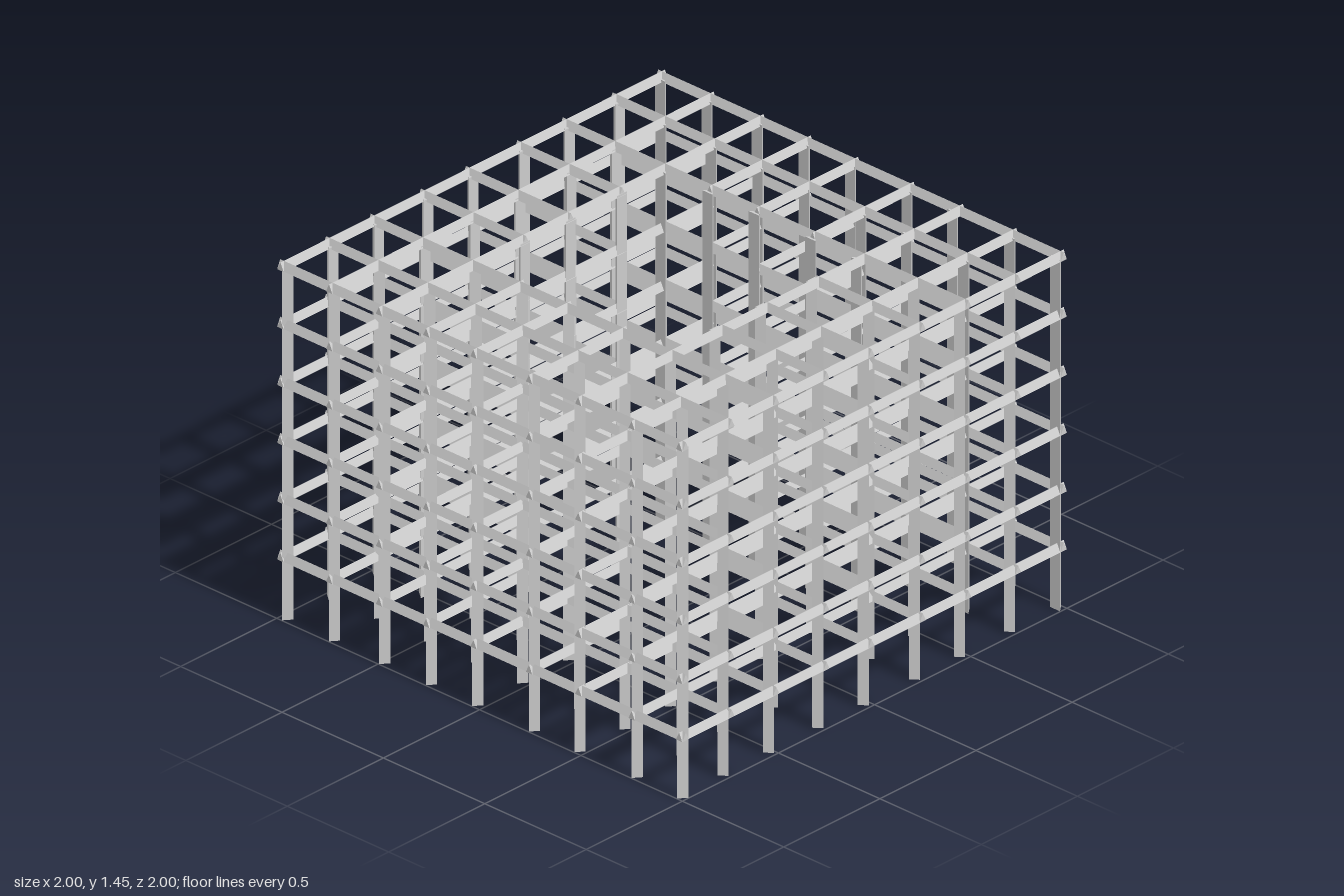
import * as THREE from 'three';

// Grid lines of the frame, and the floor heights at which beams lie
const beamX = [-0.982, -0.742, -0.496, -0.263, -0.03, 0.244, 0.487, 0.75, 0.984];
const beamZ = [-0.984, -0.747, -0.488, -0.251, 0.016, 0.25, 0.511, 0.744, 0.982];
const columnX = [-0.975, -0.745, -0.497, -0.266, -0.038, 0.241, 0.466, 0.748, 0.973];
const columnZ = [-0.982, -0.743, -0.482, -0.248, 0.018, 0.254, 0.511, 0.748, 0.982];
const floors = [0.24, 0.476, 0.714, 0.95, 1.187, 1.421];

const material = new THREE.MeshStandardMaterial({ color: 0xcccccc, flatShading: true });

// Triangular bar along +z, with its ridge towards +y and its base on y = 0
function triangularBar(width, height, length) {
  const profile = new THREE.Shape([
    new THREE.Vector2(-width / 2, 0),
    new THREE.Vector2(width / 2, 0),
    new THREE.Vector2(0, height),
  ]);
  return new THREE.ExtrudeGeometry(profile, { depth: length, bevelEnabled: false });
}

function addBar(parent, name, geometry, x, y, z) {
  const bar = new THREE.Mesh(geometry, material);
  bar.name = name;
  bar.position.set(x, y, z);
  parent.add(bar);
}

// The middle three lines stop at the courtyard; the others cross the whole frame
function spans(line, inner) {
  const crossesCourtyard = line >= 3 && line <= 5;
  return crossesCourtyard ? [[-1, inner[0]], [inner[1], 1]] : [[-1, 1]];
}

export function createModel() {
  const model = new THREE.Group();
  model.name = 'buildingFrame';

  // Floor beams in both directions
  floors.forEach((y, level) => {
    const floor = new THREE.Group();
    floor.name = `floorBeams${level + 1}`;
    beamZ.forEach((z, i) => {
      for (const [from, to] of spans(i, [-0.482, 0.474])) {
        const geometry = triangularBar(0.031, 0.033, to - from).rotateY(Math.PI / 2);
        addBar(floor, 'crossBeam', geometry, from, y, z);
      }
    });
    beamX.forEach((x, i) => {
      for (const [from, to] of spans(i, [-0.475, 0.495])) {
        addBar(floor, 'lengthwiseBeam', triangularBar(0.031, 0.033, to - from), x, y, from);
      }
    });
    model.add(floor);
  });

  // Upright columns, each with its ridge turned away from the courtyard
  const columns = new THREE.Group();
  columns.name = 'columns';
  const upright = triangularBar(0.05, 0.032, 1.43).translate(0, -0.016, 0).rotateX(-Math.PI / 2);
  const facing = (angle) => upright.clone().rotateY(angle);
  const [back, front, right, left] = [0, Math.PI, Math.PI / 2, -Math.PI / 2].map(facing);
  columnX.forEach((x, i) => {
    columnZ.forEach((z, j) => {
      const dx = Math.abs(i - 4), dz = Math.abs(j - 4);
      if (dx < 2 && dz < 2) return;
      const geometry = dz >= dx ? (z > 0 ? front : back) : (x > 0 ? left : right);
      // The courtyard itself stays empty
      if (Math.max(dx, dz) >= 2) addBar(columns, 'column', geometry, x, 0, z);
    });
  });
  model.add(columns);
  return model;
}
